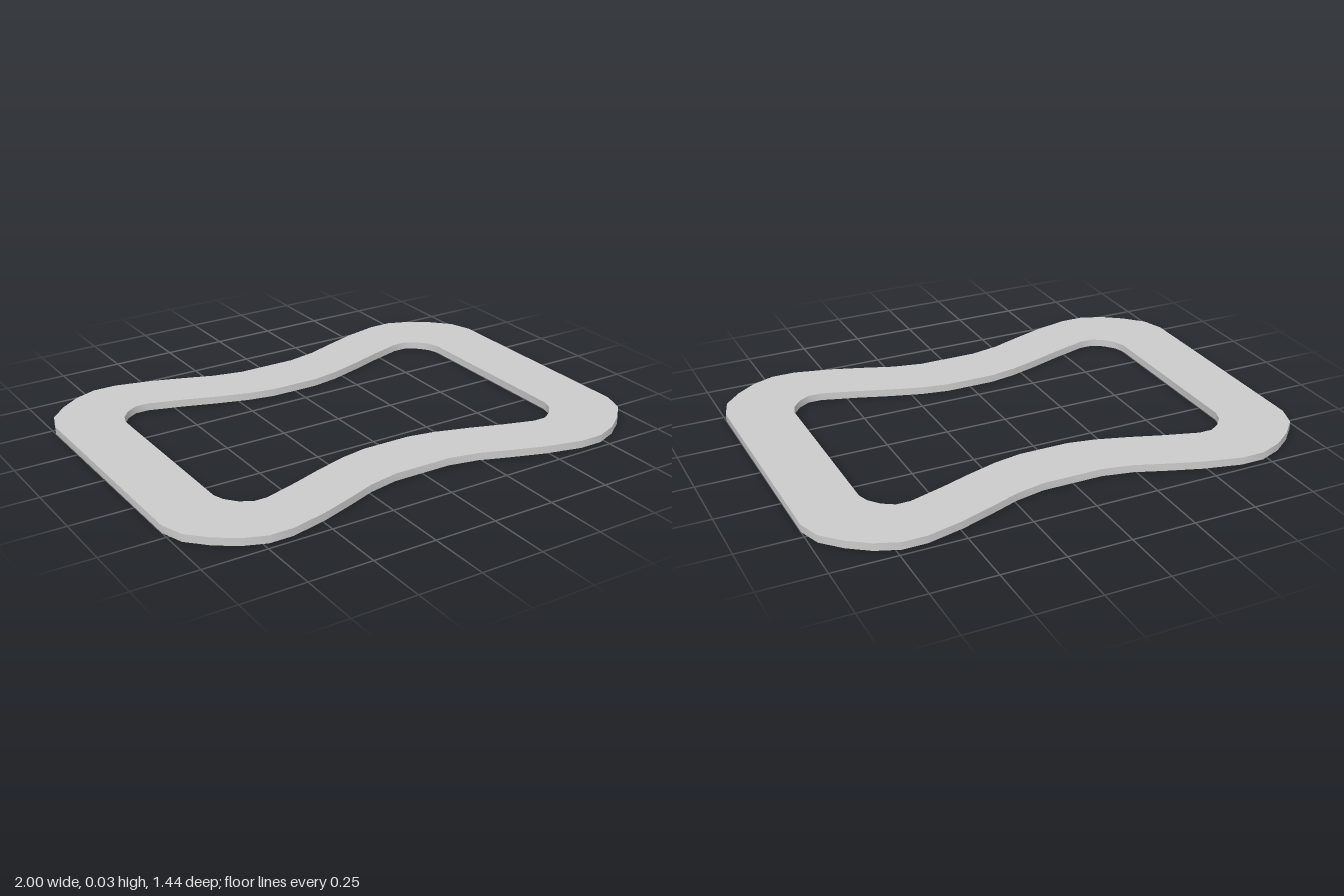
import * as THREE from 'three';
import { toCreasedNormals } from 'three/addons/utils/BufferGeometryUtils.js';

const THICKNESS = 0.03;

// One quarter of each outline, from the straight side to the pinched waist
const OUTER = [[1, 0.465], [0.97, 0.555], [0.9, 0.628], [0.82, 0.685], [0.73, 0.72],
  [0.635, 0.72], [0.49, 0.685], [0.36, 0.64], [0.24, 0.595], [0.12, 0.57]];
const INNER = [[0.75, 0.365], [0.735, 0.41], [0.7, 0.452], [0.655, 0.48], [0.6, 0.48],
  [0.46, 0.437], [0.34, 0.395], [0.21, 0.355], [0.1, 0.335]];

// Mirror a quarter outline into a closed loop
function mirrorLoop(quarter) {
  const half = [...quarter, ...quarter.map(([x, y]) => [-x, y]).reverse()];
  const loop = [...half, ...half.map(([x, y]) => [x, -y]).reverse()];
  return loop.map(([x, y]) => new THREE.Vector2(x, y));
}

export function createModel() {
  const group = new THREE.Group();
  group.name = 'gasket';

  // Flat pinched frame with a matching opening
  const shape = new THREE.Shape(mirrorLoop(OUTER));
  shape.holes.push(new THREE.Path(mirrorLoop(INNER)));
  const geometry = new THREE.ExtrudeGeometry(shape, { depth: THICKNESS, bevelEnabled: false });
  geometry.rotateX(-Math.PI / 2);

  const frame = new THREE.Mesh(
    toCreasedNormals(geometry, 0.8),
    new THREE.MeshStandardMaterial({ color: 0xcccccc })
  );
  frame.name = 'frame';
  group.add(frame);
  return group;
}
